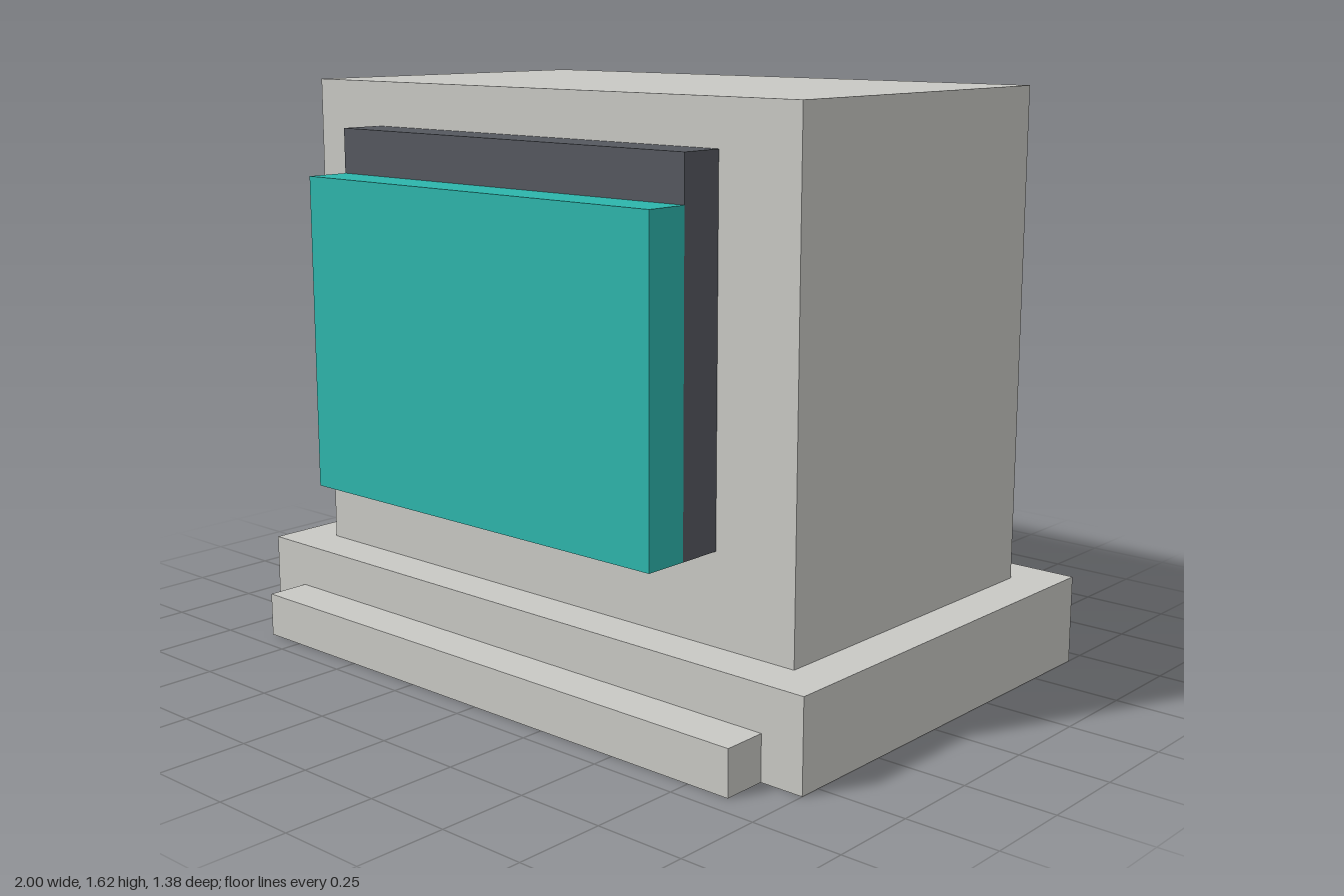
import * as THREE from 'three';

// Order of the faces in a BoxGeometry
const SIDES = ['left', 'right', 'top', 'bottom', 'front', 'back'];

// Box between two corners, leaving out the named open sides
function shell(name, material, min, max, open = []) {
  const size = max.map((v, i) => v - min[i]);
  const mid = max.map((v, i) => (v + min[i]) / 2);
  const geometry = new THREE.BoxGeometry(...size);
  const index = Array.from(geometry.index.array);
  geometry.setIndex(index.filter((_, i) => !open.includes(SIDES[Math.floor(i / 6)])));
  geometry.clearGroups();
  geometry.translate(...mid);
  const mesh = new THREE.Mesh(geometry, material);
  mesh.name = name;
  return mesh;
}

function paint(name, color) {
  const material = new THREE.MeshStandardMaterial({ color, side: THREE.DoubleSide });
  material.name = name;
  return material;
}

export function createModel() {
  const casing = paint('casing grey', 0xc8c8c4);
  const dark = paint('bezel dark grey', 0x55585f);
  const teal = paint('screen teal', 0x2db5ac);

  const model = new THREE.Group();
  model.name = 'desktopComputer';
  model.add(
    // Hollow base, open underneath
    shell('base', casing, [-1, 0, -0.6875], [1, 0.25, 0.5625], ['bottom']),
    // Keyboard ledge running into the base, open underneath and behind
    shell('keyboard', casing, [-0.875, 0, 0.4375], [0.875, 0.125, 0.6875], ['bottom', 'back']),
    // Main cabinet, standing on the base
    shell('cabinet', casing, [-0.875, 0.25, -0.5625], [0.875, 1.625, 0.4375], ['bottom']),
    // Bezel and screen, stacked on the cabinet front
    shell('bezel', dark, [-0.625, 0.5, 0.4375], [0.625, 1.5, 0.5625], ['back']),
    shell('screen', teal, [-0.625, 0.5, 0.5625], [0.625, 1.375, 0.6875], ['back'])
  );
  return model;
}
